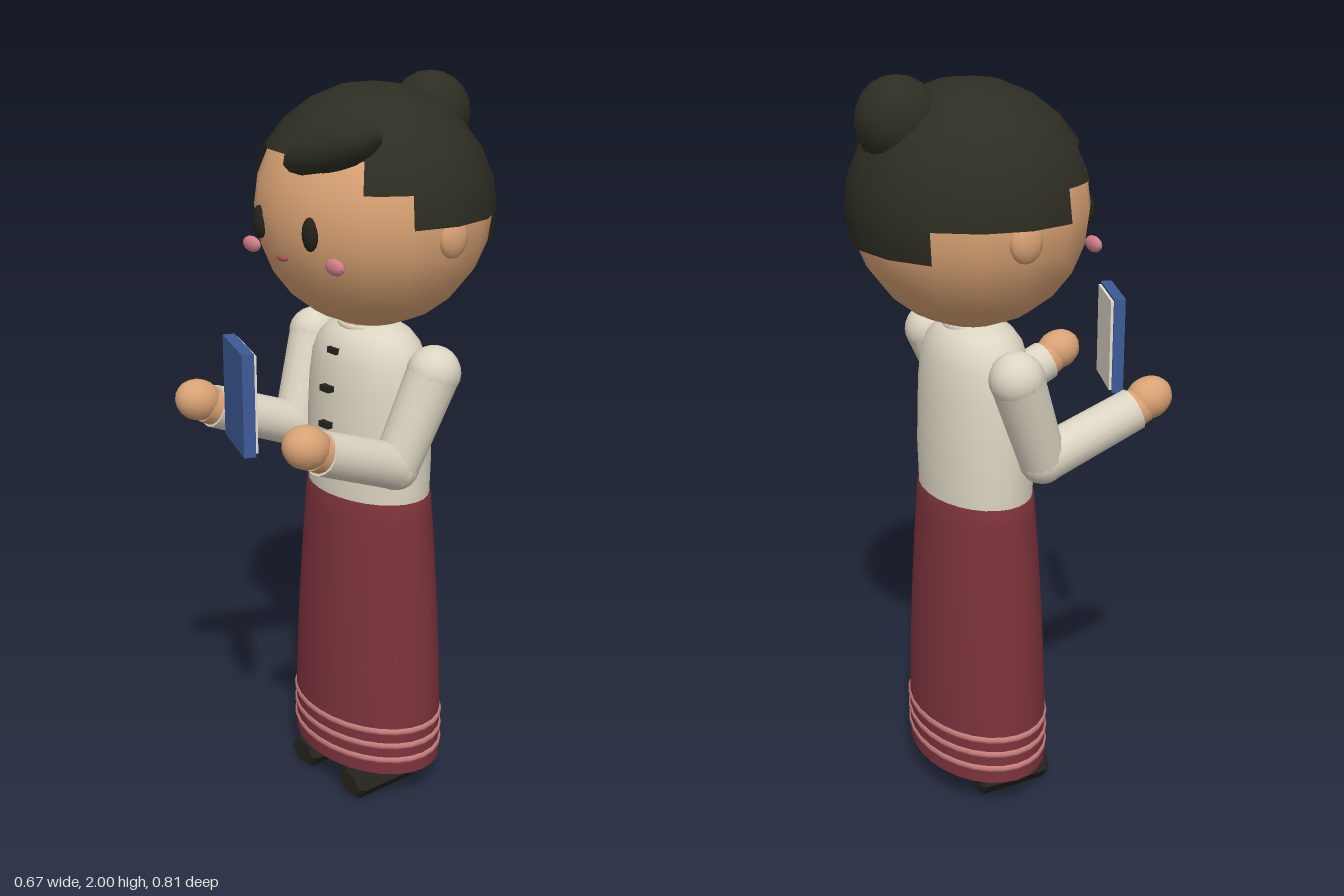
import * as THREE from 'three';

const mat = (name, color, side = THREE.FrontSide) => {
  const m = new THREE.MeshStandardMaterial({ color, side });
  m.name = name;
  return m;
};

export function createModel() {
  const skin = mat('skin', 0xd9a274);
  const hair = mat('hair', 0x2d2d23, THREE.DoubleSide);
  const dark = mat('dark', 0x23221c);
  const cream = mat('blouse cream', 0xddd5c3, THREE.DoubleSide);
  const red = mat('skirt red', 0x7c323c, THREE.DoubleSide);
  const rose = mat('stripe rose', 0xc67c7c);
  const pink = mat('cheek pink', 0xd07f8a);
  const lip = mat('lip', 0xa84f54);
  const blue = mat('book blue', 0x3d5a96);
  const paper = mat('paper', 0xe6dfd0);

  const model = new THREE.Group();
  model.name = 'figure';

  const add = (name, geo, material, pos = [0, 0, 0], scale = [1, 1, 1], parent = model) => {
    const mesh = new THREE.Mesh(geo, material);
    mesh.name = name;
    mesh.position.set(...pos);
    mesh.scale.set(...scale);
    parent.add(mesh);
    return mesh;
  };
  const ball = (name, material, pos, radii, seg = 12, rings = 8) =>
    add(name, new THREE.SphereGeometry(1, seg, rings), material, pos, radii);
  // Tapered cylinder between two points
  const limb = (name, material, a, b, ra, rb) => {
    const A = new THREE.Vector3(...a), B = new THREE.Vector3(...b);
    const d = B.clone().sub(A);
    const mesh = add(name, new THREE.CylinderGeometry(rb, ra, d.length(), 16), material,
      A.clone().add(B).multiplyScalar(0.5).toArray());
    mesh.quaternion.setFromUnitVectors(new THREE.Vector3(0, 1, 0), d.normalize());
    return mesh;
  };
  const lathe = (points, seg = 28) =>
    new THREE.LatheGeometry(points.map(([r, y]) => new THREE.Vector2(r, y)), seg);

  // Head
  const hc = [0, 1.665, -0.095];
  ball('head', skin, hc, [0.32, 0.308, 0.305], 16, 12);

  // Hair cap: sphere patches, each reaching down to its own ring (degrees)
  const deg = Math.PI / 180;
  const patches = [
    [45, 90, 60],     // fringe
    [22.5, 22.5, 75], [135, 22.5, 75],    // temples
    [-45, 67.5, 90], [157.5, 67.5, 90],   // sides
    [225, 90, 105],   // nape
  ];
  for (const [start, length, theta] of patches) {
    add('hairCap', new THREE.SphereGeometry(1, length / 22.5, theta / 15,
      start * deg, length * deg, 0, theta * deg), hair, hc, [0.332, 0.32, 0.315]);
  }
  ball('hairBun', hair, [0, 1.89, -0.29], [0.111, 0.11, 0.106], 14, 10);
  const swoop = ball('hairSwoop', hair, [0.115, 1.845, 0.128], [0.155, 0.055, 0.06], 10, 8);
  swoop.rotation.set(0, 0.3, 0.32);

  // Face
  ball('mouth', lip, [0, 1.57, 0.195], [0.022, 0.008, 0.01], 10, 6);
  for (const s of [1, -1]) {
    ball('ear', skin, [s * 0.305, 1.635, -0.1], [0.028, 0.055, 0.045]);
    ball('eye', dark, [s * 0.105, 1.645, 0.188], [0.026, 0.043, 0.017], 10, 8);
    ball('cheek', pink, [s * 0.175, 1.573, 0.166], [0.036, 0.021, 0.014], 10, 8);
  }

  // Neck and blouse
  const cz = -0.087;
  add('neck', new THREE.CylinderGeometry(0.078, 0.078, 0.1, 16), skin, [0, 1.36, cz]);
  add('blouse', lathe([[0.2, 0.88], [0.204, 1.0], [0.201, 1.1], [0.195, 1.2], [0.184, 1.27],
    [0.165, 1.315], [0.135, 1.345], [0.1, 1.362], [0.075, 1.367]]), cream, [0, 0, cz], [1, 1, 0.7]);
  const collar = add('collar', new THREE.TorusGeometry(0.073, 0.011, 8, 20), cream, [0, 1.358, cz]);
  collar.rotation.x = Math.PI / 2;
  for (const [y, z] of [[1.0, 0.058], [1.1, 0.059], [1.2, 0.056], [1.3, 0.03]]) {
    add('button', new THREE.BoxGeometry(0.038, 0.016, 0.022), dark, [0, y, z]);
  }

  // Skirt with raised hem stripes
  add('skirt', lathe([[0.25, 0.1], [0.249, 0.25], [0.243, 0.4], [0.234, 0.55], [0.221, 0.72],
    [0.209, 0.85], [0.204, 0.9], [0.19, 0.902]]), red, [0, 0, cz], [1, 1, 0.71]);
  for (const y of [0.145, 0.19, 0.235]) {
    const stripe = add('hemStripe', new THREE.TorusGeometry(0.245, 0.011, 8, 28), rose,
      [0, y, cz], [1, 0.71, 1]);
    stripe.rotation.x = Math.PI / 2;
  }

  // Shoe: bevelled six-sided prism
  const hex = new THREE.Shape([[0.045, 0], [0.022, 0.03], [-0.022, 0.03],
    [-0.045, 0], [-0.022, -0.03], [0.022, -0.03]].map(([x, y]) => new THREE.Vector2(x, y)));
  const shoeGeo = new THREE.ExtrudeGeometry(hex, { depth: 0.19, bevelEnabled: true,
    bevelSize: 0.011, bevelThickness: 0.013, bevelSegments: 1 });

  for (const s of [1, -1]) {
    // Legs and shoes
    add('leg', new THREE.CylinderGeometry(0.055, 0.05, 0.75, 14), skin, [s * 0.11, 0.435, -0.088]);
    add('shoe', shoeGeo, dark, [s * 0.11, 0.042, -0.136]);

    // Arms: bent sleeve, wrist and hand
    const shoulder = [s * 0.252, 1.275, -0.095];
    const elbow = [s * 0.217, 1.03, 0];
    const cuff = [s * 0.236, 1.132, 0.262];
    limb('upperSleeve', cream, shoulder, elbow, 0.07, 0.062);
    ball('shoulder', cream, shoulder, [0.071, 0.071, 0.071], 16, 12);
    ball('elbow', cream, elbow, [0.063, 0.063, 0.063], 16, 12);
    limb('forearmSleeve', cream, elbow, cuff, 0.062, 0.058);
    limb('wrist', skin, [s * 0.235, 1.125, 0.245], [s * 0.238, 1.143, 0.287], 0.053, 0.05);
    const hand = ball('hand', skin, [s * 0.24, 1.158, 0.307], [0.056, 0.056, 0.066], 14, 10);
    hand.rotation.x = -0.35;
  }

  // Book, turned slightly, pages facing the figure
  const book = new THREE.Group();
  book.name = 'book';
  book.position.set(0.0275, 1.2475, 0.3525);
  book.rotation.y = -0.36;
  model.add(book);
  add('bookCover', new THREE.BoxGeometry(0.196, 0.266, 0.031), blue, [0, 0, 0.003], [1, 1, 1], book);
  add('bookPages', new THREE.BoxGeometry(0.182, 0.252, 0.009), paper, [0, 0, -0.0155], [1, 1, 1], book);

  return model;
}
